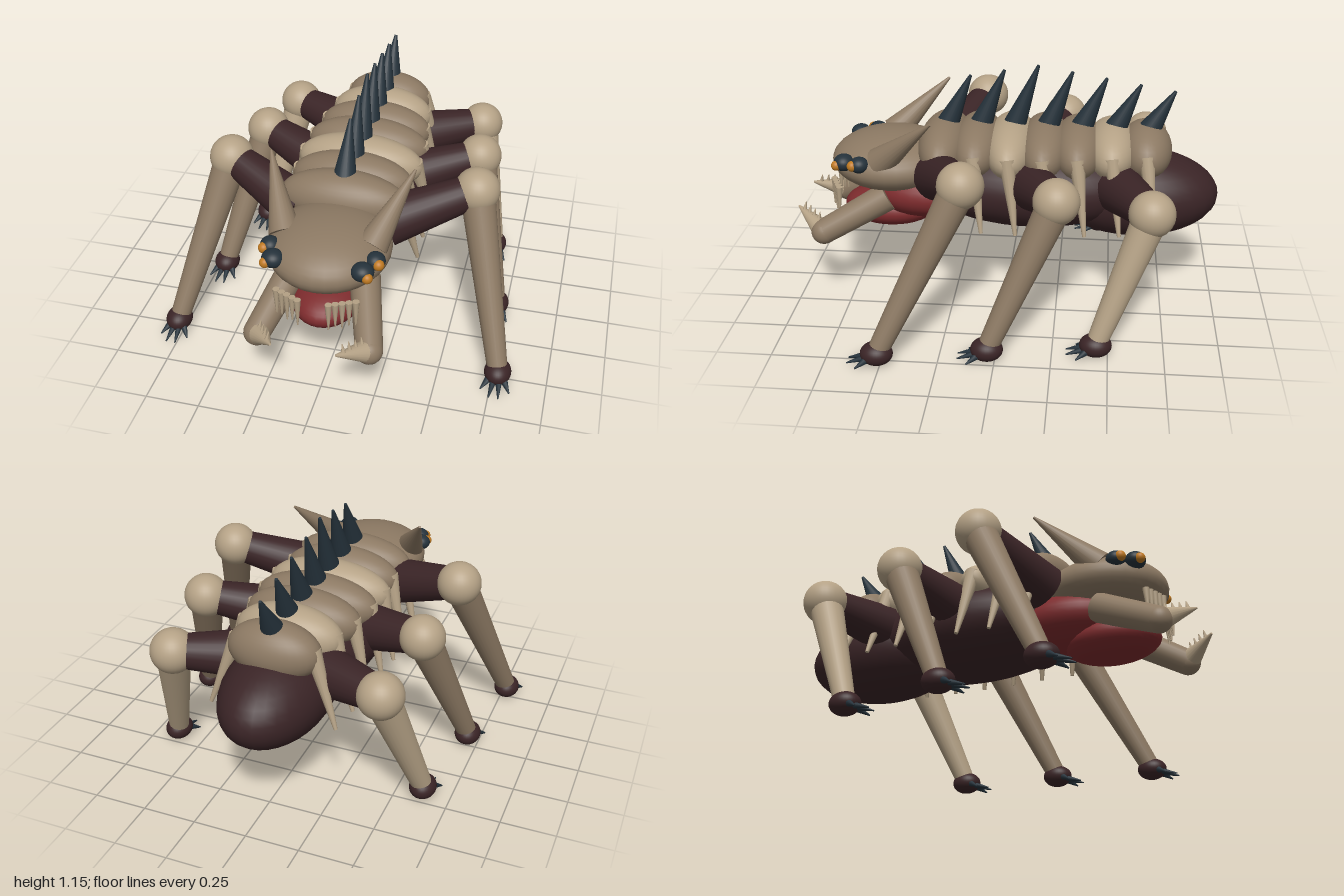
import * as THREE from 'three';

export function createModel() {
  const root = new THREE.Group();
  root.name = 'creature';

  const mat = (name, color) => {
    const m = new THREE.MeshStandardMaterial({ color });
    m.name = name;
    return m;
  };
  const shell = mat('shell tan', 0x8c7963);
  const bone = mat('pale bone', 0xb5a286);
  const flesh = mat('dark flesh', 0x3a2426);
  const red = mat('throat red', 0x7d2b2d);
  const slate = mat('slate', 0x25323b);
  const amber = mat('amber', 0xc07a22);

  const sphere = new THREE.SphereGeometry(1, 32, 20);
  const V = (x, y, z) => new THREE.Vector3(x, y, z);

  // Ellipsoid at a centre with three radii
  function ball(name, material, c, r, parent = root) {
    const m = new THREE.Mesh(sphere, material);
    m.name = name;
    m.position.set(...c);
    m.scale.set(...r);
    parent.add(m);
    return m;
  }

  // Tapered limb or spike running from a (radius ra) to b (radius rb)
  function limb(name, material, a, b, ra, rb, parent = root, sides = 20) {
    const A = V(...a), B = V(...b);
    const d = B.clone().sub(A);
    const m = new THREE.Mesh(new THREE.CylinderGeometry(rb, ra, d.length(), sides), material);
    m.name = name;
    m.position.copy(A).add(B).multiplyScalar(0.5);
    m.quaternion.setFromUnitVectors(V(0, 1, 0), d.normalize());
    parent.add(m);
    return m;
  }

  // Soft body
  ball('torso', flesh, [0, 0.58, -0.12], [0.3, 0.215, 0.56]);
  ball('abdomen', flesh, [0, 0.535, -0.6], [0.24, 0.21, 0.4]);
  ball('throat', red, [0, 0.53, 0.38], [0.23, 0.14, 0.3]);
  ball('lowerJaw', red, [0, 0.425, 0.57], [0.165, 0.095, 0.23]);
  ball('head', shell, [0, 0.67, 0.55], [0.275, 0.137, 0.295]);

  // Back plates, each with a dorsal spike and a pair of side ribs
  const widths = [0.295, 0.285, 0.3, 0.295, 0.275, 0.25, 0.215];
  const tips = [1.09, 1.12, 1.147, 1.12, 1.094, 1.067, 1.04];
  widths.forEach((w, i) => {
    const z = 0.3 - 0.158 * i;
    const seg = new THREE.Group();
    seg.name = 'backSegment';
    root.add(seg);
    ball('backPlate', i % 3 === 2 ? bone : shell, [0, 0.75, z], [w, 0.132, 0.125], seg);
    limb('dorsalSpike', slate, [0, 0.84, z - 0.01], [0, tips[i], z - 0.125], 0.056, 0.007, seg);
    for (const s of [-1, 1]) {
      limb('sideRib', bone, [s * (w - 0.04), 0.78, z], [s * (w * 0.5 + 0.19), 0.44, z - 0.045],
        0.038, 0.009, seg, 12);
    }
  });

  // Legs: hip, knee and foot positions on the +x side
  const legs = [
    { hip: [0.2, 0.66, 0.31], knee: [0.58, 0.79, 0.155], foot: [0.775, 0.055, 0.515] },
    { hip: [0.2, 0.63, -0.12], knee: [0.535, 0.71, -0.255], foot: [0.7, 0.055, 0.035] },
    { hip: [0.18, 0.62, -0.53], knee: [0.488, 0.645, -0.67], foot: [0.625, 0.055, -0.445] },
  ];
  for (const s of [-1, 1]) {
    legs.forEach((l, i) => {
      const leg = new THREE.Group();
      leg.name = 'leg';
      root.add(leg);
      const at = (p) => [s * p[0], p[1], p[2]];
      const f = at(l.foot);
      limb('upperLeg', flesh, at(l.hip), at(l.knee), 0.115, 0.075, leg, 24);
      ball('knee', bone, at(l.knee), [0.104, 0.104, 0.104], leg);
      limb('lowerLeg', i === 2 ? bone : shell, at(l.knee), f, 0.08, 0.046, leg, 24);
      ball('foot', flesh, f, [0.062, 0.053, 0.073], leg);
      // Fanned claws
      for (let c = 0; c < 4; c++) {
        const t = (c - 1.5) / 1.5;
        limb('claw', slate, [f[0] + t * 0.035, 0.04, f[2] + 0.04],
          [f[0] + t * 0.066, 0.012, f[2] + 0.137 - 0.05 * t * t], 0.017, 0.003, leg, 10);
      }
    });
  }

  // Paired head parts
  for (const s of [-1, 1]) {
    limb('horn', shell, [s * 0.195, 0.72, 0.58], [s * 0.327, 0.965, 0.32], 0.072, 0.006);

    // Eyes with amber lenses
    ball('frontEye', slate, [s * 0.195, 0.712, 0.752], [0.05, 0.04, 0.048]);
    ball('sideEye', slate, [s * 0.232, 0.717, 0.672], [0.044, 0.038, 0.045]);
    ball('frontLens', amber, [s * 0.222, 0.706, 0.782], [0.024, 0.024, 0.024]);
    ball('sideLens', amber, [s * 0.252, 0.718, 0.7], [0.025, 0.025, 0.025]);

    // Upper teeth
    for (let i = 0; i < 5; i++) {
      const x = 0.068 + 0.027 * i;
      limb('upperTooth', bone, [s * x, 0.575, 0.835 - 0.012 * i],
        [s * x, 0.44 + 0.012 * (i % 2), 0.84 - 0.012 * i], 0.016, 0.003, root, 10);
    }

    // Jaw arm and inward-curving tusk with a serrated upper edge
    const elbow = V(s * 0.25, 0.375, 0.855), tip = V(s * 0.142, 0.452, 0.998);
    limb('jawArm', shell, [s * 0.16, 0.53, 0.56], elbow.toArray(), 0.07, 0.06);
    ball('jawElbow', shell, elbow.toArray(), [0.06, 0.06, 0.06]);
    limb('tusk', bone, elbow.toArray(), tip.toArray(), 0.056, 0.005);
    for (let i = 0; i < 4; i++) {
      const t = 0.2 + 0.19 * i;
      const p = elbow.clone().lerp(tip, t);
      p.y += 0.04 * (1 - t);
      limb('tuskTooth', bone, p.toArray(), [p.x - s * 0.008, p.y + 0.04, p.z - 0.008],
        0.011, 0.002, root, 8);
    }
  }
  return root;
}
